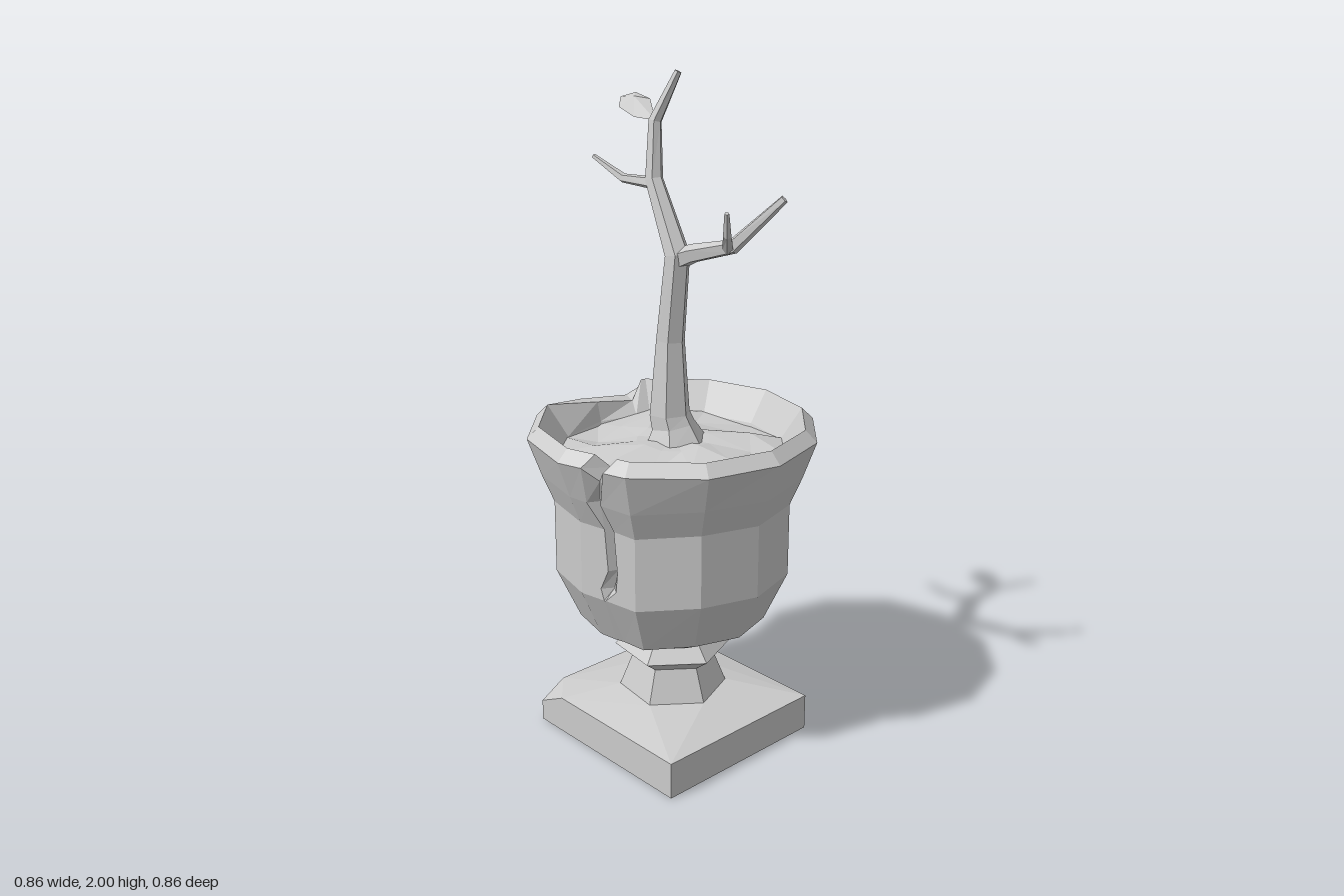
import * as THREE from 'three';
import { ConvexGeometry } from 'three/addons/geometries/ConvexGeometry.js';

const material = new THREE.MeshStandardMaterial({ color: 0xcccccc, flatShading: true, side: THREE.DoubleSide });
const V = (x, y, z) => new THREE.Vector3(x, y, z);

function part(name, geometry) {
  const mesh = new THREE.Mesh(geometry, material);
  mesh.name = name;
  return mesh;
}

// Skin a stack of closed rings that have equal point counts
function loft(rings) {
  const n = rings[0].length;
  const index = [];
  for (let i = 0; i < rings.length - 1; i++) {
    for (let j = 0; j < n; j++) {
      const a = i * n + j, b = i * n + (j + 1) % n;
      index.push(a, a + n, b, b, a + n, b + n);
    }
  }
  const geometry = new THREE.BufferGeometry().setFromPoints(rings.flat());
  geometry.setIndex(index);
  const flat = geometry.toNonIndexed();
  flat.computeVertexNormals();
  return flat;
}

// Tapered, faceted limb through [x, y, z, radius] points
function limb(name, path, sides = 5) {
  const points = path.map(([x, y, z]) => V(x, y, z));
  const last = path.length - 1;
  const rings = points.map((p, i) => {
    const before = points[Math.max(i - 1, 0)], after = points[Math.min(i + 1, last)];
    const t = after.clone().sub(before).normalize();
    const u = V(0, 0, 1).addScaledVector(t, -t.z).normalize();
    const w = u.clone().cross(t);
    return Array.from({ length: sides }, (_, k) => {
      const a = (k / sides) * Math.PI * 2 + 0.4, r = path[i][3];
      return p.clone().addScaledVector(u, Math.cos(a) * r).addScaledVector(w, Math.sin(a) * r);
    });
  });
  rings.unshift(rings[0].map(() => points[0]));
  rings.push(rings[rings.length - 1].map(() => points[last]));
  return part(name, loft(rings));
}

// Square foot with one chipped corner and a sloping top
function plinth() {
  const pts = [];
  for (const x of [-0.3, 0.3]) {
    for (const z of [-0.285, 0.285]) {
      pts.push(V(x, 0, z));
      if (x > 0 || z < 0) pts.push(V(x, 0.113, z));
    }
  }
  pts.push(V(-0.3, 0.065, 0.285), V(-0.2, 0.115, 0.285), V(-0.3, 0.113, 0.2));
  for (let k = 0; k < 6; k++) {
    const a = 0.14 + k * Math.PI / 3;
    pts.push(V(0.165 * Math.cos(a), 0.15, 0.165 * Math.sin(a)));
  }
  return part('plinth', new ConvexGeometry(pts));
}

// Twelve-sided bowl; extra columns carve the front crack and the broken rim
function pot() {
  // radius, height, optional x of the crack's left edge, bottom and right edge
  const rows = [
    [0.05, 0.33], [0.13, 0.33], [0.285, 0.41],
    [0.355, 0.565, [0.075, 0.08, 0.085]],
    [0.355, 0.6, [0.065, 0.09, 0.115]],
    [0.355, 0.66, [0.09, 0.105, 0.12]],
    [0.355, 0.785, [0.08, 0.095, 0.11]],
    [0.39, 0.87, [0.055, 0.075, 0.1]],
    [0.43, 0.985, [0.075, 0.11, 0.145]],
    [0.395, 1.02, [0.09, 0.12, 0.16]],
    [0.33, 0.925], [0.29, 0.82],
  ];
  const outerLip = 8, lip = 9;
  const corner = (k, r, y) => V(r * Math.cos(k * Math.PI / 6), y, r * Math.sin(k * Math.PI / 6));
  const rings = rows.map(([r, y, crack], row) => {
    const ring = [];
    for (let k = 0; k < 12; k++) {
      const p = corner(k, r, y);
      if (row > 1 && row < 8) p.y += 0.008 * Math.sin(k * 2.3);
      // worn-down stretch of rim
      if (k === 6 && row === lip) p.set(-0.345, 0.985, 0);
      if (k === 6 && row === outerLip) p.y = 0.975;
      ring.push(p);
      const next = corner(k + 1, r, y);
      if (k === 2) {
        for (let c = 2; c >= 0; c--) {
          const t = crack ? 1 - crack[c] / (0.5 * r) : 0.65 - c * 0.1;
          const q = corner(k, r, y).lerp(next, t);
          if (crack && c === 1 && row > 3) {
            q.x *= 0.96;
            q.z *= 0.92;
            if (row >= outerLip) q.y -= 0.04;
          }
          ring.push(q);
        }
      }
      if (k === 6) {
        // sharp step at the end of the broken rim
        const q = corner(k, r, y).lerp(next, 0.72);
        if (row === lip) q.multiply(V(0.93, 0.945, 0.93));
        if (row === outerLip) q.y = 0.965;
        ring.push(q);
        const s = corner(k, r, y).lerp(next, 0.92);
        ring.push(s);
      }
    }
    return ring;
  });
  return part('pot', loft(rings));
}

// Uneven earth filling the pot
function soil() {
  const rings = [[0.345, 0.925, 0.012], [0.235, 0.935, 0.02], [0.11, 0.955, 0.006], [0, 0.957, 0]];
  return part('soil', loft(rings.map(([r, y, bump], i) => Array.from({ length: 12 }, (_, k) => {
    const a = k * Math.PI / 6;
    return V(r * Math.cos(a), y + bump * Math.sin(k * 1.9 + i), r * Math.sin(a));
  }))));
}

export function createModel() {
  const model = new THREE.Group();
  model.name = 'pottedSapling';
  model.add(plinth(), pot(), soil());

  // Six-sided stem and collar under the bowl
  const profile = [[0.165, 0.148], [0.125, 0.25], [0.178, 0.29], [0.135, 0.335]];
  model.add(part('stem', new THREE.LatheGeometry(
    profile.map(([r, y]) => new THREE.Vector2(r, y)), 6, 0.38)));

  const tree = new THREE.Group();
  tree.name = 'tree';
  tree.add(
    limb('trunk', [
      [0, 0.935, -0.01, 0.1], [-0.005, 0.995, -0.005, 0.066], [-0.014, 1.03, 0, 0.062],
      [-0.016, 1.25, -0.005, 0.044], [0.006, 1.5, -0.012, 0.038], [-0.1, 1.7, -0.02, 0.027],
      [-0.115, 1.86, -0.038, 0.02], [-0.065, 1.995, -0.08, 0.011],
    ], 6),
    limb('rightBranch', [
      [0, 1.485, -0.012, 0.033], [0.06, 1.51, -0.02, 0.028],
      [0.2, 1.548, -0.035, 0.022], [0.32, 1.685, -0.108, 0.012],
    ]),
    limb('rightTwig', [
      [0.19, 1.54, -0.03, 0.017], [0.25, 1.595, 0.035, 0.012], [0.272, 1.66, 0.06, 0.007],
    ]),
    limb('leftTwig', [
      [-0.1, 1.69, -0.015, 0.019], [-0.2, 1.695, 0.01, 0.014], [-0.3, 1.75, 0.035, 0.007],
    ]),
  );

  // Single faceted leaf
  tree.add(part('leaf', new ConvexGeometry([
    V(-0.115, 1.86, -0.04), V(-0.145, 1.86, -0.055), V(-0.27, 1.915, -0.045),
    V(-0.235, 1.928, -0.072), V(-0.165, 1.915, -0.065), V(-0.24, 1.89, -0.012),
    V(-0.17, 1.868, -0.008), V(-0.2, 1.922, -0.035), V(-0.2, 1.88, -0.042),
  ])));
  model.add(tree);
  return model;
}
